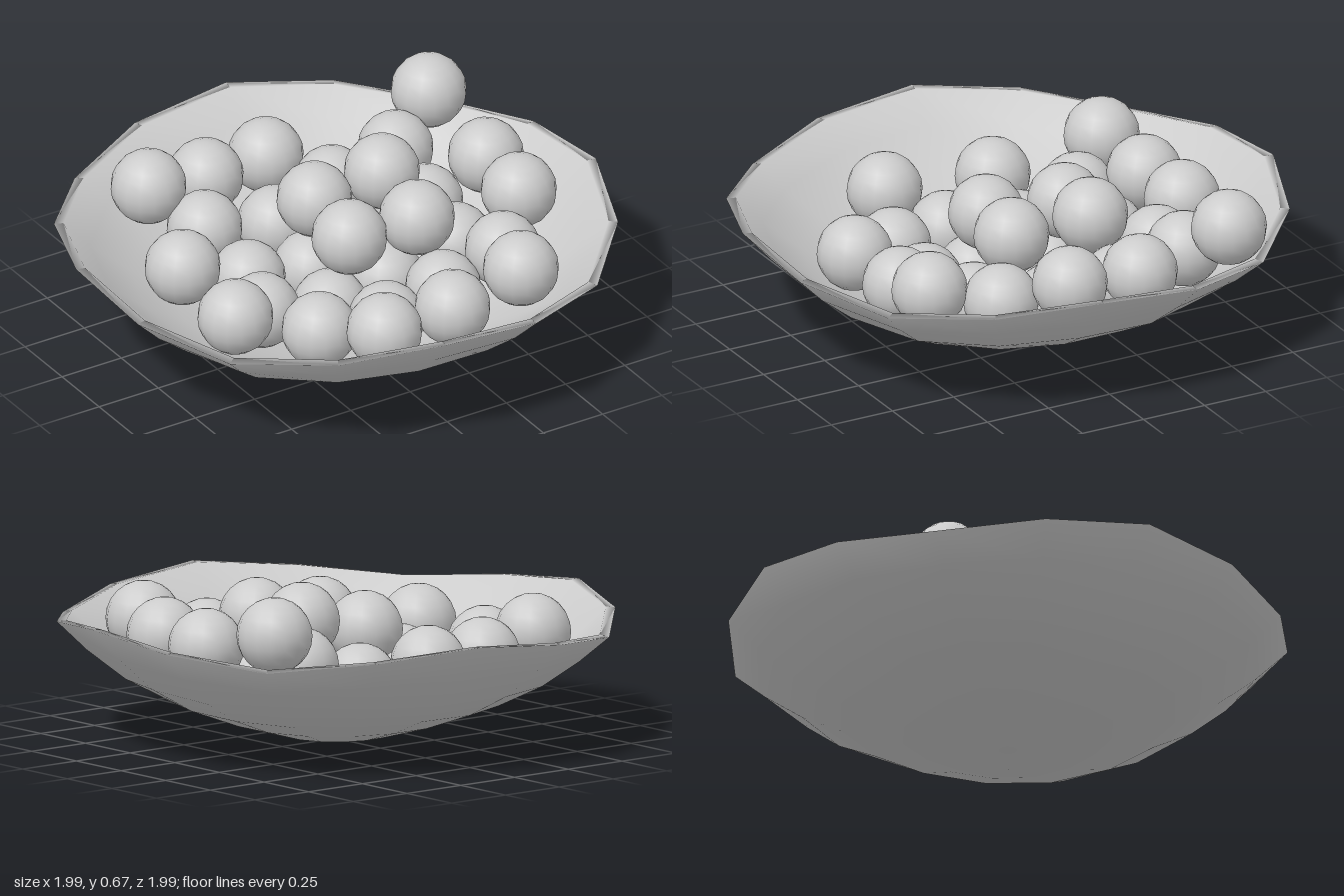
import * as THREE from 'three';
import { mergeVertices } from 'three/addons/utils/BufferGeometryUtils.js';

const TURN = THREE.MathUtils.degToRad(9.1); // angle of the first rim crest

// Sixteen-sided shallow bowl whose rim rises and dips four times
function bowlGeometry() {
  const outer = [[0, 0], [0.21, 0.025], [0.405, 0.08], [0.6, 0.15], [0.76, 0.235], [0.9, 0.345], [1.01, 0.452]];
  const inner = [[0.975, 0.455], [0.88, 0.362], [0.74, 0.262], [0.59, 0.18], [0.4, 0.108], [0.21, 0.055], [0, 0.03]];
  const profile = [...outer, ...inner].map(([r, y]) => new THREE.Vector2(r, y));
  let geo = new THREE.LatheGeometry(profile, 16, Math.PI / 2 - TURN);
  const p = geo.attributes.position;
  for (let i = 0; i < p.count; i++) {
    const x = p.getX(i), z = p.getZ(i);
    const wave = 0.036 * Math.hypot(x, z) ** 4 * Math.cos(4 * (Math.atan2(z, x) - TURN));
    p.setY(i, p.getY(i) + wave);
  }
  // weld the seam so that the shading runs smoothly all round
  geo.deleteAttribute('uv');
  geo.deleteAttribute('normal');
  geo = mergeVertices(geo, 1e-4);
  geo.computeVertexNormals();
  return geo;
}

// Balls resting on the bowl as [x, z]; a third value is the centre height of a ball lying on others
const BALLS = [
  [-0.41, -0.61], [-0.15, -0.64], [0.11, -0.65],
  [-0.28, -0.44], [0, -0.41], [0.27, -0.46], [0.52, -0.43], [0.71, -0.51, 0.53],
  [-0.51, -0.22], [-0.26, -0.18], [0, -0.17], [0.24, -0.2], [0.49, -0.18], [0.72, -0.14, 0.44],
  [-0.35, 0.06], [-0.08, 0.09], [0.19, 0.03], [0.46, 0.07], [0.69, 0.13, 0.44],
  [-0.55, 0.2], [-0.27, 0.32], [0, 0.34], [0.27, 0.29], [0.51, 0.31],
  [-0.14, 0.55], [0.16, 0.53], [0.43, 0.56],
  [0.04, -0.21, 0.435], [0.3, -0.17, 0.49], [0, 0.09, 0.44], [0.26, 0.13, 0.46],
];

export function createModel() {
  const model = new THREE.Group();
  model.name = 'bowlOfBalls';
  const material = new THREE.MeshStandardMaterial({ color: 0xcccccc });

  const bowl = new THREE.Mesh(bowlGeometry(), material);
  bowl.name = 'bowl';
  model.add(bowl);

  // Heap of balls
  const heap = new THREE.Group();
  heap.name = 'balls';
  const ballGeometry = new THREE.SphereGeometry(0.137, 16, 12);
  BALLS.forEach(([x, z, y = 0.17 + 0.48 * (x * x + z * z)], i) => {
    const ball = new THREE.Mesh(ballGeometry, material);
    ball.name = `ball${i + 1}`;
    ball.position.set(x, y, z);
    heap.add(ball);
  });
  model.add(heap);
  return model;
}
